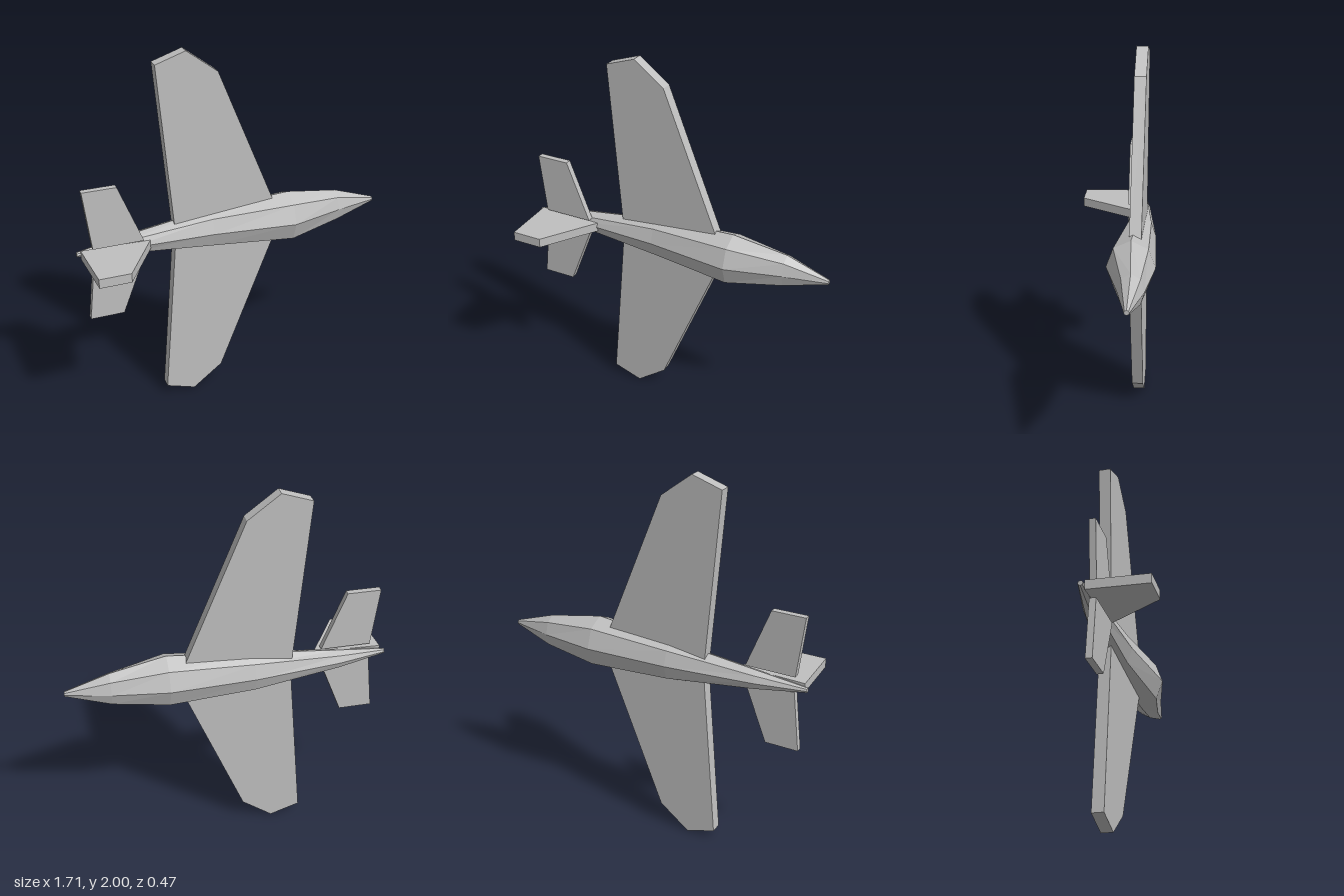
import * as THREE from 'three';

// Flat plate: outline in x/y, extruded along z from z0 by depth
function plate(points, z0, depth) {
  const shape = new THREE.Shape(points.map(([x, y]) => new THREE.Vector2(x, y)));
  return new THREE.ExtrudeGeometry(shape, { depth, bevelEnabled: false }).translate(0, 0, z0);
}

// Eight-sided body lofted through stations [x, centreZ, radiusY, radiusZ], tail to nose
function loft(stations, sides = 8) {
  const positions = [];
  const index = [];
  for (const [x, cz, ry, rz] of stations) {
    for (let j = 0; j < sides; j++) {
      const a = (j / sides) * Math.PI * 2;
      positions.push(x, 1 + ry * Math.cos(a), cz + rz * Math.sin(a));
    }
  }
  const last = (stations.length - 1) * sides;
  for (let i = 0; i < last; i += sides) {
    for (let j = 0; j < sides; j++) {
      const k = (j + 1) % sides;
      index.push(i + j, i + k, i + sides + j, i + k, i + sides + k, i + sides + j);
    }
  }
  // End caps
  for (let j = 1; j < sides - 1; j++) {
    index.push(0, j + 1, j, last, last + j, last + j + 1);
  }
  const indexed = new THREE.BufferGeometry();
  indexed.setAttribute('position', new THREE.Float32BufferAttribute(positions, 3));
  indexed.setIndex(index);
  const geometry = indexed.toNonIndexed();
  geometry.computeVertexNormals();
  return geometry;
}

export function createModel() {
  const group = new THREE.Group();
  group.name = 'aeroplane';
  const grey = new THREE.MeshStandardMaterial({ color: 0xbfbfbf, flatShading: true });
  grey.name = 'lightGrey';

  const add = (name, geometry) => {
    const mesh = new THREE.Mesh(geometry, grey);
    mesh.name = name;
    group.add(mesh);
  };

  // Body, pointing along +x
  add('fuselage', loft([
    [-0.855, -0.092, 0.013, 0.0135],
    [-0.595, -0.11, 0.05, 0.05],
    [-0.125, -0.128, 0.11, 0.088],
    [0.325, -0.11, 0.143, 0.125],
    [0.62, -0.13, 0.092, 0.066],
    [0.853, -0.128, 0.013, 0.0135],
  ]));

  // Wings and tailplanes, mirrored about y = 1
  const wing = [[-0.325, 0.05], [-0.4, 0.947], [-0.24, 1], [-0.075, 0.876], [0.235, 0.11], [0.2, 0.05]];
  const tail = [[-0.78, 0.042], [-0.817, 0.365], [-0.637, 0.365], [-0.51, 0.042]];
  for (const [side, s] of [['upper', 1], ['lower', -1]]) {
    const mirror = (pts) => pts.map(([x, y]) => [x, 1 + s * y]);
    add(side + 'Wing', plate(mirror(wing), -0.157, 0.062));
    add(side + 'Tailplane', plate(mirror(tail), -0.072, 0.034));
  }

  // Tail fin, standing out towards +z
  const fin = plate([[-0.835, -0.078], [-0.82, 0.235], [-0.655, 0.235], [-0.47, -0.062]], 0, 0.05);
  add('tailFin', fin.rotateX(Math.PI / 2).translate(0, 1.025, 0));

  return group;
}
